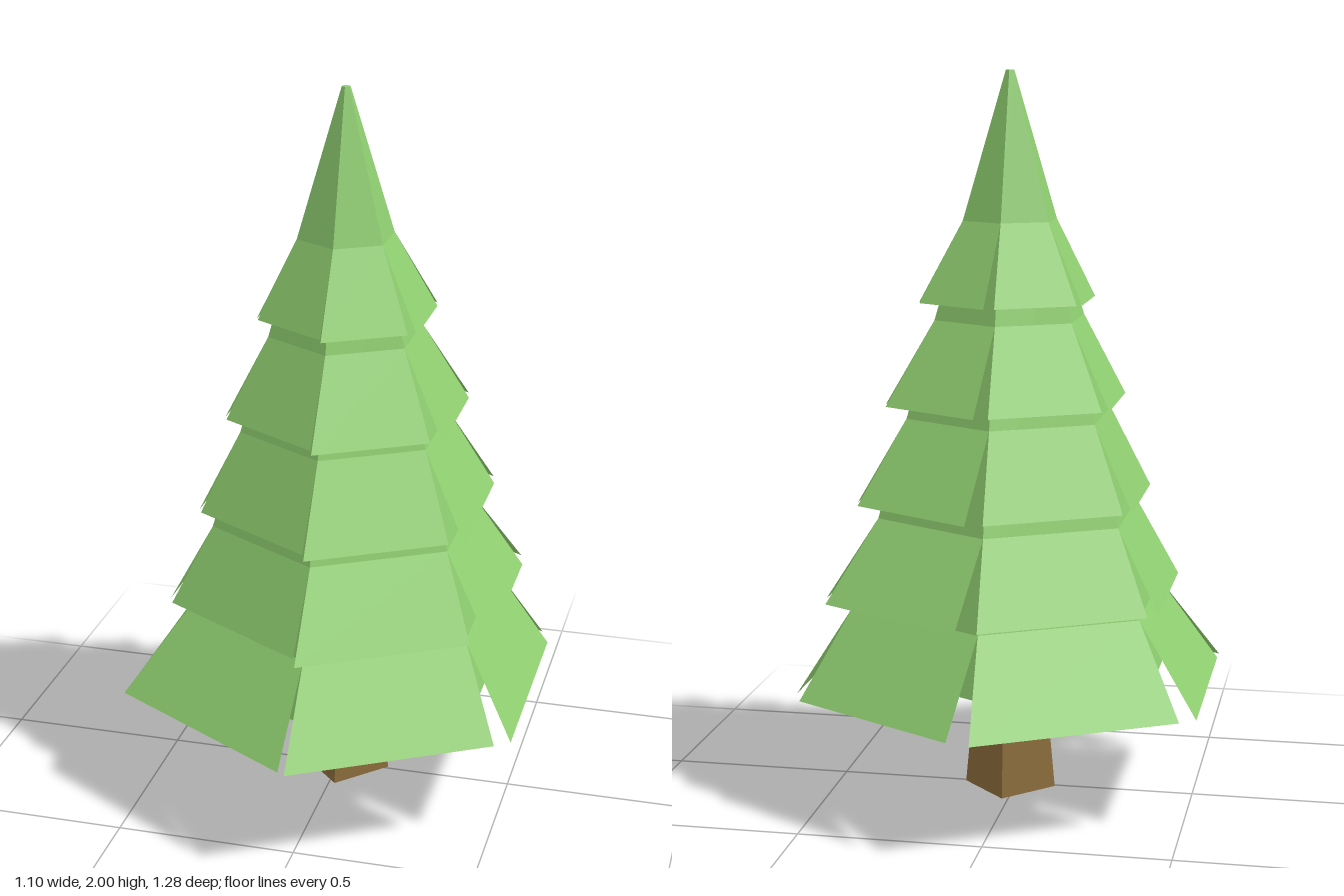
import * as THREE from 'three';

const HEX = Math.cos(Math.PI / 6); // apothem / corner radius of a hexagon

export function createModel() {
  const tree = new THREE.Group();
  tree.name = 'pineTree';
  const green = new THREE.MeshStandardMaterial({ color: 0x8fce70, flatShading: true, side: THREE.DoubleSide });
  const brown = new THREE.MeshStandardMaterial({ color: 0x8a6b3b, flatShading: true });

  // Tapered prism between two heights
  function prism(name, sides, rTop, rBottom, yTop, yBottom, material) {
    const geo = new THREE.CylinderGeometry(rTop, rBottom, yTop - yBottom, sides);
    const mesh = new THREE.Mesh(geo, material);
    mesh.name = name;
    mesh.position.y = (yTop + yBottom) / 2;
    tree.add(mesh);
  }

  // Foliage core: apothem grows linearly from y 1.6 down to y 0.4
  const coreApothem = (y) => 0.117 + (1.6 - y) * 0.265;
  prism('trunk', 4, 0.091, 0.128, 0.4, 0, brown);
  prism('foliageCore', 6, coreApothem(1.6) / HEX, coreApothem(0.4) / HEX, 1.6, 0.4, green);
  prism('treeTip', 6, 0.012, coreApothem(1.6) / HEX, 2, 1.6, green);

  // Tiers of flared panels: top height, bottom height, bottom distance from the axis
  const tiers = [
    [1.6, 1.385, 0.222],
    [1.335, 1.11, 0.305],
    [1.07, 0.845, 0.375],
    [0.8, 0.582, 0.455],
    [0.56, 0.32, 0.557],
  ];
  // Sides of the tree: flare factor, then the sideways reach of the lower edge
  const sides = [
    [1.02, -0.52, 0.6],
    [1.02, -0.46, 0.58],
    [0.95, -0.53, 0.58],
    [0.98, -0.5, 0.565],
    [1.0, -0.49, 0.55],
    [1.07, -0.47, 0.49],
  ];

  tiers.forEach(([yTop, yBottom, reach], tier) => {
    const skirt = new THREE.Group();
    skirt.name = 'branchTier' + (tier + 1);
    sides.forEach(([flare, left, right], i) => {
      const top = coreApothem(yTop);
      const half = top * Math.tan(Math.PI / 6);
      const low = tier === 4 ? reach * (i === 0 ? 0.97 : 1) : reach * flare;
      // Panel facing +x, then turned to its side
      const geo = new THREE.BufferGeometry();
      geo.setAttribute('position', new THREE.Float32BufferAttribute([
        top, yTop, -half,
        top, yTop, half,
        low, yBottom, low * right,
        low, yBottom, low * left,
      ], 3));
      geo.setIndex([0, 1, 2, 0, 2, 3]);
      geo.computeVertexNormals();
      const panel = new THREE.Mesh(geo, green);
      panel.name = 'branchPanel';
      panel.rotation.y = -i * Math.PI / 3;
      skirt.add(panel);
    });
    tree.add(skirt);
  });

  // The trunk axis sits slightly off centre because the skirts are uneven
  tree.position.set(0.017, 0, -0.008);
  const model = new THREE.Group();
  model.name = 'tree';
  model.add(tree);
  return model;
}
